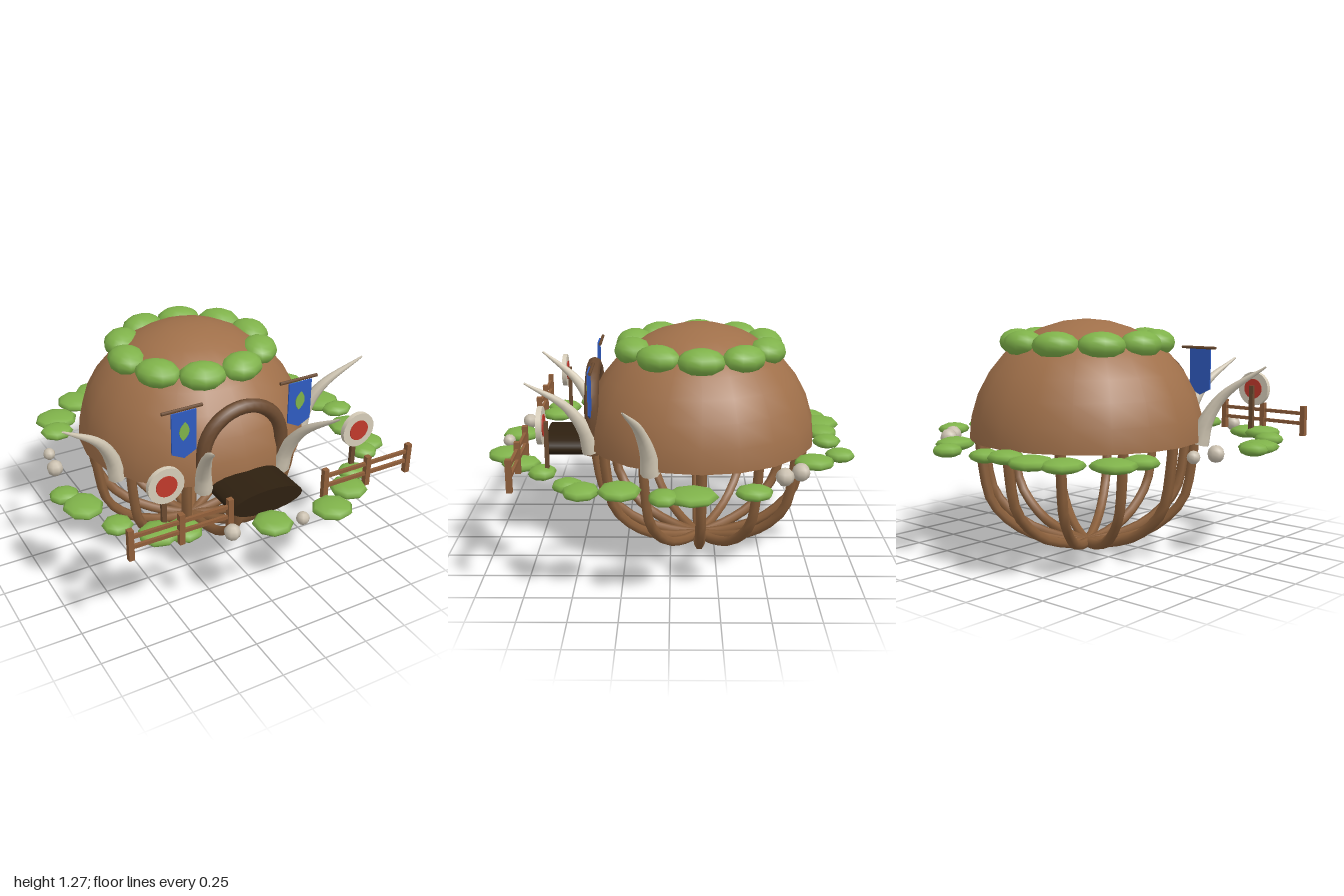
import * as THREE from 'three';

const mat = (name, color, side = THREE.FrontSide) => {
  const m = new THREE.MeshStandardMaterial({ color, side });
  m.name = name;
  return m;
};
const V = (x, y, z) => new THREE.Vector3(x, y, z);

export function createModel() {
  const clay = mat('clay', 0xa0704a, THREE.DoubleSide);
  const root = mat('root wood', 0x8a5f3b, THREE.DoubleSide);
  const darkWood = mat('dark wood', 0x6b4a30, THREE.DoubleSide);
  const fenceWood = mat('fence wood', 0x8f5e3a);
  const soil = mat('dark soil', 0x2e2010);
  const leaf = mat('leaf green', 0x7fb24a);
  const ivory = mat('ivory', 0xd6ccb8, THREE.DoubleSide);
  const stone = mat('stone', 0xc9bfae);
  const blue = mat('banner blue', 0x2f5bc0, THREE.DoubleSide);
  const red = mat('shield red', 0xc0392b);

  const model = new THREE.Group();
  const CX = -0.01, CZ = -0.16; // dome axis

  const add = (name, geo, material, x = 0, y = 0, z = 0, parent = model) => {
    const m = new THREE.Mesh(geo, material);
    m.name = name;
    m.position.set(x, y, z);
    parent.add(m);
    return m;
  };
  const box = (w, h, d) => new THREE.BoxGeometry(w, h, d);

  // Tube along a curve whose radius shrinks towards its end
  const taperedTube = (points, r0, r1, segs, sides) => {
    const curve = new THREE.CatmullRomCurve3(points);
    const geo = new THREE.TubeGeometry(curve, segs, r0, sides);
    const pos = geo.attributes.position, p = V(0, 0, 0);
    for (let i = 0; i < pos.count; i++) {
      const t = Math.floor(i / (sides + 1)) / segs;
      const c = curve.getPointAt(t);
      p.fromBufferAttribute(pos, i).sub(c).multiplyScalar(1 + (r1 / r0 - 1) * t).add(c);
      pos.setXYZ(i, p.x, p.y, p.z);
    }
    return geo;
  };

  // Half-sphere roof
  add('dome', new THREE.SphereGeometry(0.645, 20, 8, 0, Math.PI * 2, 0, Math.PI / 2), clay, CX, 0.635, CZ);

  // Basket of curved roots beneath the dome
  const ribGeo = new THREE.TubeGeometry(new THREE.CatmullRomCurve3([
    V(0, 0.03, 0), V(0.17, 0.055, 0), V(0.37, 0.13, 0), V(0.535, 0.29, 0), V(0.585, 0.5, 0), V(0.6, 0.65, 0),
  ]), 12, 0.028, 6);
  for (let i = 0; i < 12; i++) {
    add('rootRib', ribGeo, root, CX, 0, CZ).rotation.y = i * Math.PI / 6;
  }

  // Ring of leaf clumps on the roof
  const clump = new THREE.SphereGeometry(1, 10, 8);
  for (let i = 0; i < 10; i++) {
    const a = i * Math.PI / 5;
    const m = add('roofLeaf', clump, leaf, CX + 0.38 * Math.cos(a), 1.152, CZ + 0.38 * Math.sin(a));
    m.scale.set(0.103, 0.073, 0.128);
    m.rotation.y = -a;
  }

  // Doorway arch with short legs
  const archPts = [V(-0.225, 0.6, 0)];
  for (let i = 0; i <= 8; i++) {
    const a = Math.PI * (1 - i / 8);
    archPts.push(V(0.235 * Math.cos(a), 0.81 + 0.235 * Math.sin(a), 0));
  }
  archPts.push(V(0.225, 0.6, 0));
  add('doorArch', new THREE.TubeGeometry(new THREE.CatmullRomCurve3(archPts), 28, 0.039, 8), darkWood, CX, 0, 0.425);

  // Rounded doorstep
  const step = add('doorstep', new THREE.CylinderGeometry(1, 1, 0.31, 20), soil, CX, 0.618, 0.533);
  step.rotation.x = Math.PI / 2;
  step.scale.set(0.21, 1, 0.068);

  // Banner cloth and its leaf emblem
  const cloth = new THREE.Shape();
  cloth.moveTo(-0.07, 0);
  cloth.lineTo(-0.07, -0.23);
  cloth.lineTo(0, -0.265);
  cloth.lineTo(0.07, -0.23);
  cloth.lineTo(0.07, 0);
  const clothGeo = new THREE.ExtrudeGeometry(cloth, { depth: 0.008, bevelEnabled: false });
  const emblem = new THREE.Shape();
  emblem.moveTo(0, -0.052);
  emblem.quadraticCurveTo(0.055, 0, 0, 0.052);
  emblem.quadraticCurveTo(-0.055, 0, 0, -0.052);
  const emblemGeo = new THREE.ExtrudeGeometry(emblem, { depth: 0.007, bevelEnabled: false });

  // Parts that come in left and right pairs
  for (const s of [1, -1]) {
    const side = new THREE.Group();
    side.name = s > 0 ? 'leftSide' : 'rightSide';
    side.position.x = CX;
    model.add(side);

    const tusk = (name, pts) =>
      add(name, taperedTube(pts.map(([x, y, z]) => V(s * x, y, z)), 0.052, 0.005, 14, 8), ivory, 0, 0, 0, side);
    tusk('sideTusk', [[0.58, 0.62, 0.1], [0.605, 0.73, 0.11], [0.69, 0.88, 0.15], [0.905, 1.04, 0.22]]);
    tusk('frontTusk', [[0.235, 0.62, 0.43], [0.25, 0.74, 0.46], [0.285, 0.89, 0.56], [0.36, 1.035, 0.76]]);

    const banner = new THREE.Group();
    banner.name = 'banner';
    banner.position.set(s * 0.345, 1.105, 0.42);
    side.add(banner);
    add('bannerCloth', clothGeo, blue, 0, 0, 0, banner);
    add('bannerLeaf', emblemGeo, leaf, 0, -0.11, 0.006, banner).rotation.z = -0.15;
    add('bannerRod', new THREE.CylinderGeometry(0.009, 0.009, 0.23, 6), darkWood, 0, 0.005, -0.012, banner)
      .rotation.z = Math.PI / 2;

    // Round shield on a post
    const disc = (name, r, t, m) =>
      add(name, new THREE.CylinderGeometry(r, r, t, 20), m, s * 0.565, 0.872, 0.652, side).rotation.x = Math.PI / 2;
    disc('shield', 0.097, 0.026, ivory);
    disc('shieldCentre', 0.057, 0.034, red);
    add('shieldPost', box(0.026, 0.29, 0.02), darkWood, s * 0.565, 0.745, 0.626, side);

    // Fence: three posts and two rails
    for (const dx of [-0.267, 0, 0.267]) {
      add('fencePost', box(0.029, 0.17, 0.029), fenceWood, s * 0.548 + dx, 0.693, 0.78, side);
    }
    for (const y of [0.735, 0.678]) {
      add('fenceRail', box(0.55, 0.019, 0.016), fenceWood, s * 0.548, y, 0.78, side);
    }
  }

  // Flat bushes scattered round the ground line: x, z, x radius, z radius
  const bushGeo = new THREE.SphereGeometry(1, 8, 6);
  [
    [-0.46, -0.82, 0.11, 0.12], [-0.31, -0.88, 0.12, 0.12], [-0.12, -0.87, 0.1, 0.09], [0.02, -0.88, 0.085, 0.08],
    [0.27, -0.915, 0.08, 0.08], [0.395, -0.76, 0.1, 0.11], [-0.645, -0.665, 0.125, 0.115], [-0.695, -0.52, 0.095, 0.09],
    [0.83, -0.41, 0.085, 0.095], [0.86, -0.11, 0.12, 0.13], [0.89, 0.03, 0.095, 0.075], [0.815, 0.245, 0.115, 0.11],
    [0.8, 0.435, 0.105, 0.095], [0.73, 0.505, 0.075, 0.08], [-0.905, 0.135, 0.08, 0.075], [-0.855, 0.265, 0.105, 0.12],
    [-0.77, 0.505, 0.08, 0.08], [-0.625, 0.67, 0.105, 0.105], [-0.5, 0.695, 0.095, 0.1], [0.545, 0.655, 0.085, 0.075],
    [0.425, 0.78, 0.1, 0.105], [0.25, 0.885, 0.11, 0.105], [-0.09, 0.86, 0.105, 0.105],
  ].forEach(([x, z, rx, rz], i) => {
    const g = bushGeo.clone().rotateY(i * 1.3).scale(rx, 0.036, rz);
    add('bush', g, leaf, x, 0.612 + 0.004 * (i % 3), z);
  });

  // Small stones: x, z, radius
  const stoneGeo = new THREE.SphereGeometry(1, 8, 6);
  [
    [-0.83, -0.285, 0.034], [-0.855, -0.13, 0.045], [0.56, -0.67, 0.048],
    [0.63, -0.58, 0.048], [-0.31, 0.84, 0.043], [0.057, 0.905, 0.035],
  ].forEach(([x, z, r], i) => {
    const m = add('stone', stoneGeo, stone, x, 0.625, z);
    m.scale.setScalar(r);
    m.rotation.y = i;
  });

  return model;
}
